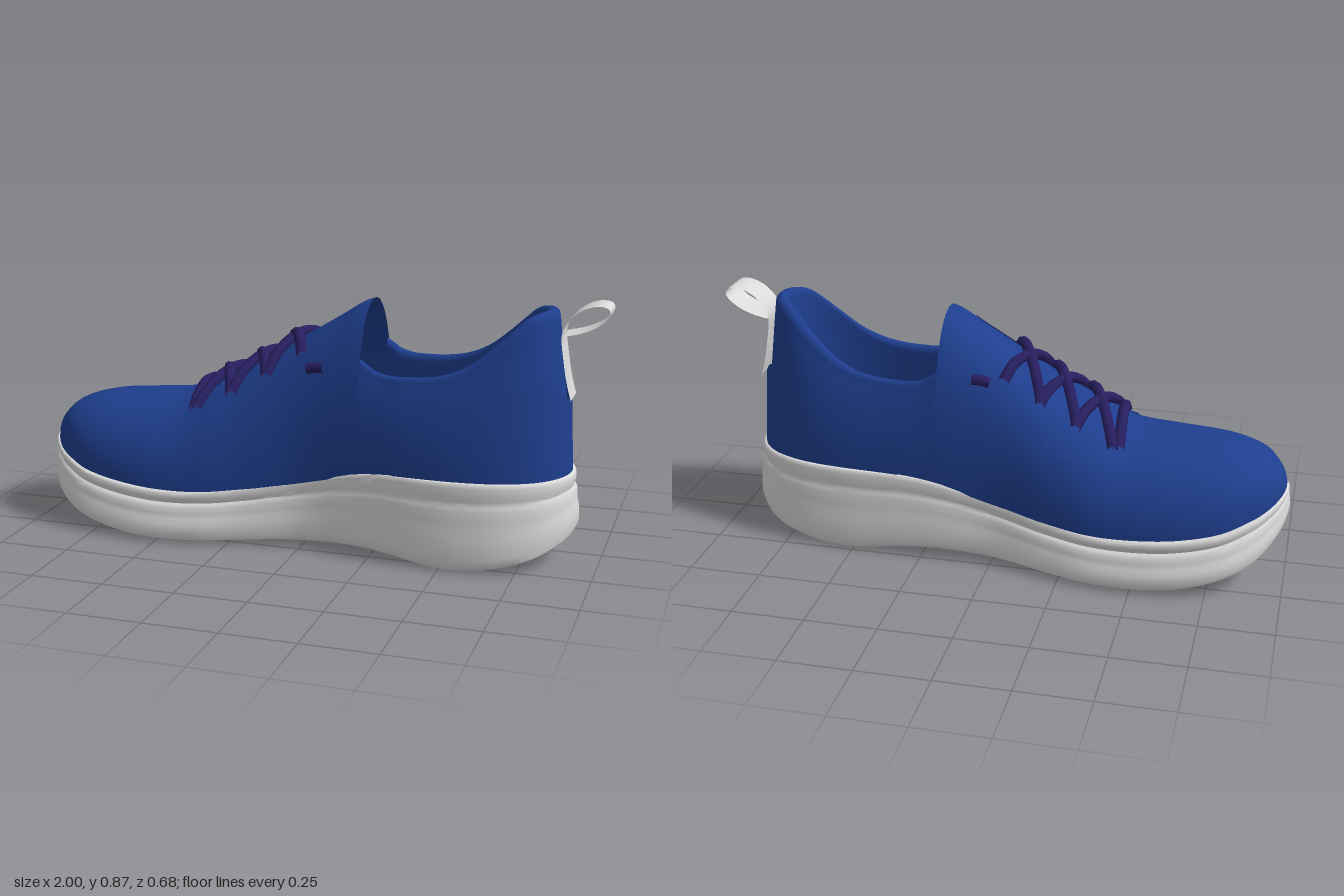
import * as THREE from 'three';
import { mergeVertices, toCreasedNormals } from 'three/addons/utils/BufferGeometryUtils.js';

const MID = -0.04, HALF = 0.96, SX = 0.9766, DX = -0.0084;
const angle = x => Math.acos(THREE.MathUtils.clamp((MID - x) / HALF, -1, 1));
const station = u => MID - HALF * Math.cos(u);
const toStation = x => (x - DX) / SX;
const lerp = THREE.MathUtils.lerp;

// Smooth curve through [x, value] knots; outlines run off at their ends, heights level out there
const curve = isOutline => (...knots) => {
  const k = knots.map(([x, y]) => [angle(x), y]), n = k.length - 1;
  const slope = i => {
    if (!isOutline && (i === 0 || i === n)) return 0;
    const a = k[Math.max(i - 1, 0)], b = k[Math.min(i + 1, n)];
    return (b[1] - a[1]) / (b[0] - a[0]);
  };
  return x => {
    const u = angle(x);
    if (u <= k[0][0]) return k[0][1];
    if (u >= k[n][0]) return k[n][1];
    let i = 0;
    while (u > k[i + 1][0]) i++;
    const h = k[i + 1][0] - k[i][0], t = (u - k[i][0]) / h, t2 = t * t, t3 = t2 * t;
    return (2 * t3 - 3 * t2 + 1) * k[i][1] + (t3 - 2 * t2 + t) * h * slope(i)
      + (3 * t2 - 2 * t3) * k[i + 1][1] + (t3 - t2) * h * slope(i + 1);
  };
};
const outline = curve(true), profile = curve(false);

// Plan outline of the sole, one curve per side, and its centre line
const edgePos = outline([-1, .02], [-.97, .13], [-.9, .22], [-.8, .285], [-.65, .325], [-.52, .338], [-.35, .32],
  [-.2, .28], [0, .243], [.2, .262], [.4, .3], [.55, .31], [.7, .288], [.82, .228], [.89, .145], [.92, .03]);
const edgeNeg = outline([-1, .02], [-.97, -.11], [-.9, -.215], [-.8, -.29], [-.65, -.335], [-.52, -.345], [-.35, -.335],
  [-.2, -.3], [0, -.252], [.2, -.25], [.4, -.25], [.55, -.245], [.7, -.22], [.82, -.163], [.89, -.085], [.92, .03]);
const centre = profile([-1, .02], [-.5, 0], [0, .01], [.2, .023], [.5, .022], [.92, .03]);

// Heights along the shoe
const soleBottom = profile([-1, .2], [-.97, .145], [-.9, .085], [-.8, .045], [-.65, .015], [-.5, .004], [-.3, .006],
  [0, .022], [.2, .032], [.35, .022], [.5, .002], [.65, .006], [.8, .033], [.88, .07], [.92, .1]);
const soleTop = profile([-1, .285], [-.9, .24], [-.8, .21], [-.6, .185], [-.4, .18], [-.2, .2], [0, .24], [.2, .285], [.35, .3], [.92, .3]);
const archLift = profile([-.3, 0], [.1, .03], [.5, .035], [.92, .02]);
const taper = profile([-1, .3], [-.8, .8], [-.4, 1], [0, .6], [.5, .45], [.92, .7]);
const ridge = profile([-1, .3], [-.97, .36], [-.92, .405], [-.8, .44], [-.6, .46], [-.45, .48], [-.35, .525],
  [-.2, .6], [-.05, .69], [.1, .78], [.17, .825], [.214, .842]);
const collar = profile([.2134, .665], [.26, .637], [.32, .622], [.38, .62], [.46, .623], [.55, .637], [.643, .672],
  [.737, .735], [.807, .79], [.86, .83], [.91, .845], [.92, .845]);
const upperInset = profile([-1, .9], [-.5, .89], [0, .96], [.25, .93], [.5, .89], [.92, .92]);
const fullness = profile([-1, .82], [-.75, .88], [-.45, .95], [0, .8], [.2134, .92], [.92, .95]);
const collarRatio = profile([.2134, .8], [.5, .78], [.75, .75], [.92, .73]);

const edge = (u, x) => (Math.sin(u) >= 0 ? edgePos : edgeNeg)(x);

// Surface from a rule; u runs around the shoe and v runs up it
function loft(rule, u0, u1, nu, rows, crease) {
  const pos = [], idx = [], w = nu + 1;
  rows.forEach((v, j) => {
    for (let i = 0; i <= nu; i++) {
      pos.push(...rule(lerp(u0, u1, i / nu), v));
      if (i < nu && j < rows.length - 1) {
        const a = j * w + i;
        idx.push(a, a + 1, a + w + 1, a, a + w + 1, a + w);
      }
    }
  });
  let g = new THREE.BufferGeometry();
  g.setAttribute('position', new THREE.Float32BufferAttribute(pos, 3));
  g.setIndex(idx);
  g = mergeVertices(g, 1e-5);
  if (crease) return toCreasedNormals(g, crease);
  g.computeVertexNormals();
  return g;
}
const steps = (a, b, n) => Array.from({ length: n + 1 }, (_, i) => lerp(a, b, i / n));

// Rows of the sole: [inset, height fraction]; inset 1 closes onto the centre line
function solePoint(u, [inset, f]) {
  const s = station(u), c = centre(s), z = edge(u, s), d = inset * taper(s);
  const wide = inset < .2 ? 1 - d / .3 : 1 - inset;
  const y = lerp(soleBottom(s), soleTop(s), f) + (f === 0 ? archLift(s) * (1 - wide * wide) : 0);
  return [MID + (s - MID) * (1 - Math.min(d, .05) / HALF), y, c + (z - c) * wide];
}

// Forefoot: arched sections closing on the ridge
function frontPoint(u, v) {
  const s = station(u), c = centre(s), e = fullness(s), a = v * Math.PI / 2;
  const base = soleTop(s) - .012, w = (edge(u, s) - c) * upperInset(s);
  return [s * SX + DX, base + (ridge(s) - base) * Math.sin(a) ** e, c + w * Math.max(0, Math.cos(a)) ** e];
}

// Heel half: v 0-1 outer wall, 1-1.5 rolled collar, 1.5-2.5 lining
function rearPoint(u, v) {
  const s = station(u), c = centre(s), base = soleTop(s) - .012, top = collar(s) - .025, p = 2 / fullness(s);
  const w = (edge(u, s) - c) * upperInset(s), x = s * SX + DX, t = Math.min(v, 1), down = Math.max(0, v - 1.5);
  const phi = THREE.MathUtils.clamp((v - 1) * 2, 0, 1) * Math.PI, b = (1 - Math.cos(phi)) / 2;
  const shrinkX = 1 - .085 * t - .07 * b - .1 * down;
  const ratio = (1 - (1 - collarRatio(s) ** p) * t ** p) ** (1 / p) * (1 - .18 * b + .06 * down);
  const y = v <= 1 ? lerp(base, top, t) : v <= 1.5 ? top + .025 * Math.sin(phi) : lerp(top, .28, down);
  return [.2 + (x - .2) * shrinkX, y, c + w * ratio];
}

// Height fraction of the forefoot arch at a given y
function archRow(s, y) {
  const base = soleTop(s) - .012, r = THREE.MathUtils.clamp((y - base) / (ridge(s) - base), 0, 1);
  return Math.asin(r ** (1 / fullness(s))) * 2 / Math.PI;
}

// Point lying on top of the forefoot at plan position x, z
function onUpper(x, z, lift) {
  const s = toStation(x), c = centre(s), u = z >= c ? angle(s) : -angle(s);
  const w = (edge(u, s) - c) * upperInset(s), r = THREE.MathUtils.clamp((z - c) / w, 0, 1);
  const p = frontPoint(u, Math.acos(r ** (1 / fullness(s))) * 2 / Math.PI);
  return new THREE.Vector3(x, p[1] + lift, z * 1.02);
}

export function createModel() {
  const model = new THREE.Group();
  model.name = 'shoe';
  const material = (name, color) => Object.assign(
    new THREE.MeshStandardMaterial({ color, side: THREE.DoubleSide }), { name });
  const blue = material('blue knit', 0x1e3e8e);
  const grey = material('light grey foam', 0xdadada);
  const purple = material('purple lace', 0x271f60);
  const add = (name, geometry, mat, parent = model) => {
    const m = new THREE.Mesh(geometry, mat);
    m.name = name;
    parent.add(m);
    return m;
  };

  // Sole with a flared lower band and a stepped rim; its top is the footbed
  const soleRows = [[1, 0], [.7, 0], [.4, 0], [.08, 0], [.03, .01], [.008, .05], [0, .14], [.002, .36], [.01, .46],
    [.014, .56], [.015, .68], [.022, .73], [.029, .76], [.026, .8], [.022, .86], [.022, .95], [.026, .985], [.034, 1], [1, 1]];
  add('sole', loft(solePoint, 0, Math.PI * 2, 160, soleRows, .7), grey);

  // Star-shaped tread lugs under the forefoot
  const star = new THREE.Shape(steps(0, 7, 7).map(i => {
    const r = i % 2 ? .016 : .06, a = i * Math.PI / 4;
    return new THREE.Vector2(r * Math.cos(a), r * Math.sin(a));
  }));
  const lug = new THREE.ExtrudeGeometry(star, { depth: .008, bevelEnabled: false }).rotateX(Math.PI / 2);
  const tread = new THREE.Group();
  tread.name = 'tread';
  model.add(tread);
  for (let i = 0; i < 4; i++) for (const z of [-.18, -.03, .12]) {
    const x = -.72 + i * .14, m = add('treadLug', lug, grey, tread);
    m.position.set(x, soleBottom(x) + .004, z + (i % 2) * .05);
    m.rotation.z = Math.atan((soleBottom(x + .05) - soleBottom(x - .05)) / .1);
  }

  // Upper
  const uc = angle(toStation(.2)), full = Math.PI * 2;
  add('forefootUpper', loft(frontPoint, -uc, uc, 120, steps(0, 1, 24)), blue);
  add('heelUpper', loft(rearPoint, uc, full - uc, 90,
    [...steps(0, 1, 16), ...steps(1.08, 1.5, 6), ...steps(1.6, 2.5, 8)]), blue);

  // Raised heel counter, thickest along its upper edge
  const counterTop = profile([.34, .3], [.4, .4], [.48, .48], [.6, .55], [.75, .595], [.87, .615], [.905, .57], [.92, .55]);
  const u1 = angle(.35);
  add('heelCounter', loft((u, v) => {
    const s = station(u), base = soleTop(s) - .012;
    const t = Math.max(0, (counterTop(s) - base) / (collar(s) - .025 - base));
    const [x, y, z] = rearPoint(u, v * t), c = centre(s);
    return [.35 + (x - .35) * (1.005 + .03 * v), y, c + (z - c) * 1.02];
  }, u1, full - u1, 80, steps(0, 1, 10)), blue);

  // Raised lace panels on both sides
  const panelLine = profile([-.48, .43], [-.35, .422], [-.23, .43], [-.1, .55], [-.04, .585], [.05, .57], [.12, .545], [.2, .53]);
  for (const side of [1, -1]) {
    add(side > 0 ? 'lacePanelFront' : 'lacePanelBack', loft((u, v) => {
      const s = station(u), low = archRow(s, panelLine(s)), c = centre(s);
      const [x, y, z] = frontPoint(u, lerp(low, Math.max(low, .8), v));
      return [x, y + .004, c + (z - c) * 1.02];
    }, side > 0 ? angle(-.45) : -angle(.14), side > 0 ? angle(.14) : -angle(-.45), 40, steps(0, 1, 8)), blue);
  }

  // Criss-cross laces
  const laces = new THREE.Group();
  laces.name = 'laces';
  model.add(laces);
  const lace = (name, xa, za, xb, zb, lift) => {
    const path = steps(0, 1, 10).map(t => onUpper(lerp(xa, xb, t), lerp(za, zb, t), lift * Math.sin(Math.PI * t) + .014));
    add(name, new THREE.TubeGeometry(new THREE.CatmullRomCurve3(path), 24, .019, 8), purple, laces);
  };
  lace('laceBar', -.4, .185, -.43, -.175, .002);
  for (let i = 0; i < 3; i++) {
    const x = -.39 + i * .125, z = .187 - i * .012;
    lace('laceCross', x, z, x + .11, -z + .01, .004);
    lace('laceCross', x + .125, z - .01, x - .02, -z + .005, .014);
  }
  for (const [a, b] of [[.182, .19], [-.168, -.172]]) lace('laceLoop', .015, a, .075, b, .002);

  // Pull tab: a strap up the heel that ends in a loop
  const strap = new THREE.CatmullRomCurve3([[.884, .55], [.87, .6], [.855, .68], [.846, .77], [.862, .81], [.905, .85],
    [.955, .868], [.992, .862], [.998, .84], [.965, .805], [.91, .778], [.85, .763]]
    .map(([x, y]) => new THREE.Vector3(x, y, 0)));
  add('pullTab', loft((u, v) => {
    const p = strap.getPoint(u);
    return [p.x, p.y, v];
  }, 0, 1, 60, [.08, -.04]), grey);

  return model;
}
